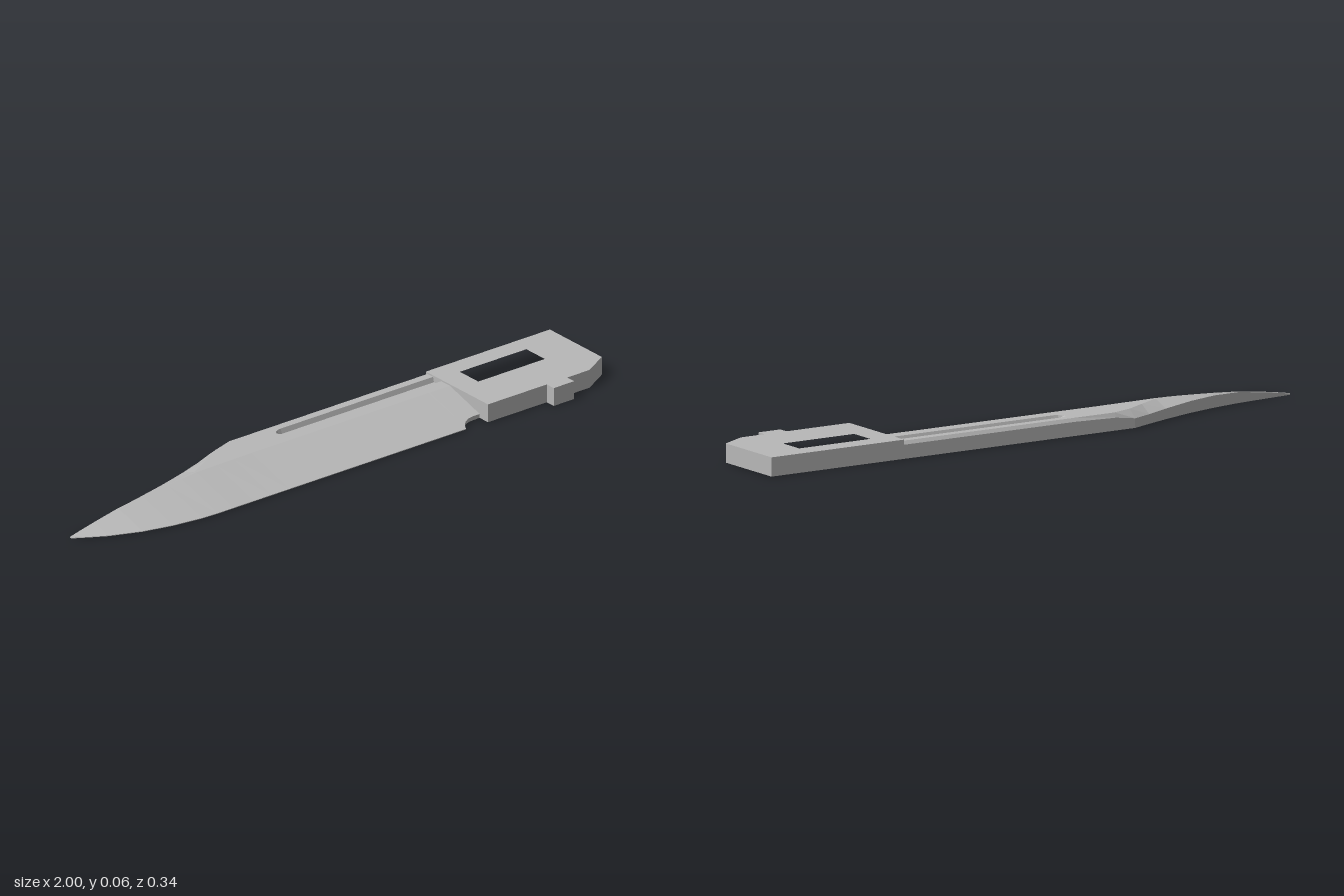
import * as THREE from 'three';

const steel = new THREE.MeshStandardMaterial({ color: 0xb8b8b8 });
steel.name = 'steel grey';

// Blade stations: x, spine z, spine wall height, flat start z, ridge z, ridge height, edge z
const stations = [
  [-1, -0.014, 0.004, -0.013, -0.012, 0.005, -0.008],
  [-0.95, -0.018, 0.012, -0.017, -0.016, 0.014, 0.022],
  [-0.9, -0.022, 0.02, -0.021, -0.02, 0.022, 0.05],
  [-0.8, -0.031, 0.034, -0.03, -0.029, 0.036, 0.09],
  [-0.7, -0.048, 0.038, -0.037, -0.036, 0.044, 0.115],
  [-0.6, -0.073, 0.037, -0.043, -0.042, 0.05, 0.129],
  [-0.54, -0.092, 0.035, -0.048, -0.046, 0.053, 0.132],
  [-0.48, -0.112, 0.033, -0.056, -0.05, 0.055, 0.132],
  [-0.4, -0.142, 0.03, -0.1, -0.052, 0.055, 0.132],
  [-0.33, -0.17, 0.03, -0.14, -0.053, 0.055, 0.132],
  [-0.26, -0.17, 0.04, -0.162, -0.054, 0.055, 0.132],
];
for (const x of [-0.112, -0.106, -0.095, -0.08, 0.43]) {
  stations.push([x, -0.17, 0.044, -0.162, -0.053, 0.055, 0.132]);
}
// Rounded notch in front of the tang
for (const [x, edge] of [[0.437, 0.118], [0.45, 0.104], [0.468, 0.096], [0.49, 0.093], [0.516, 0.093]]) {
  stations.push([x, -0.17, 0.044, -0.162, -0.052, 0.055, edge]);
}

// One closed cross-section, from the spine over the top to the cutting edge
function section([x, spine, wall, flat, ridge, high, edge]) {
  const t = THREE.MathUtils.clamp((x + 0.112) / 0.032, 0, 1);
  const open = Math.sqrt(1 - (1 - t) ** 2);
  const depth = t > 0 ? 0.016 * Math.min(1, t * 2) : 0;
  const groove = [[-0.02, 0], [-0.015, 1], [0.001, 1], [0.006, 0.75], [0.015, 0.75], [0.02, 0]]
    .map(([z, d]) => [THREE.MathUtils.clamp(-0.115 + z * open, flat, ridge), high - d * depth]);
  const lip = x > 0.43 ? 0.002 + 0.053 * (0.132 - edge) / 0.184 : 0.002;
  return [[spine, 0], [spine, wall], [flat, high], ...groove, [ridge, high], [edge, lip], [edge, 0]]
    .map(([z, y]) => [x, y, z]);
}

function bladeGeometry() {
  const rings = stations.map(section);
  const n = rings[0].length;
  const p = [];
  for (let i = 0; i < rings.length - 1; i++) {
    for (let j = 0; j < n; j++) {
      const k = (j + 1) % n;
      const [a, b, c, d] = [rings[i][j], rings[i][k], rings[i + 1][k], rings[i + 1][j]];
      p.push(...a, ...b, ...c, ...a, ...c, ...d);
    }
  }
  // Close the tip
  for (let j = 1; j < n - 1; j++) p.push(...rings[0][0], ...rings[0][j + 1], ...rings[0][j]);
  const g = new THREE.BufferGeometry();
  g.setAttribute('position', new THREE.Float32BufferAttribute(p, 3));
  g.computeVertexNormals();
  return g;
}

// Tang plate with a slot, a stop tab and a clipped corner (outline in x, -z)
function tangGeometry() {
  const v = (pts) => pts.map(([x, z]) => new THREE.Vector2(x, -z));
  const shape = new THREE.Shape(v([
    [0.515, -0.17], [1, -0.17], [1, 0.083], [0.912, 0.133], [0.825, 0.133],
    [0.825, 0.167], [0.745, 0.167], [0.745, 0.133], [0.515, 0.133],
  ]));
  shape.holes.push(new THREE.Path(v([[0.595, -0.104], [0.855, -0.104], [0.855, -0.014], [0.595, -0.014]])));
  const g = new THREE.ExtrudeGeometry(shape, { depth: 0.06, bevelEnabled: false });
  g.rotateX(-Math.PI / 2);
  return g;
}

export function createModel() {
  const model = new THREE.Group();
  model.name = 'knifeBladeHalf';
  const blade = new THREE.Mesh(bladeGeometry(), steel);
  blade.name = 'blade';
  const tang = new THREE.Mesh(tangGeometry(), steel);
  tang.name = 'tang';
  model.add(blade, tang);
  return model;
}
